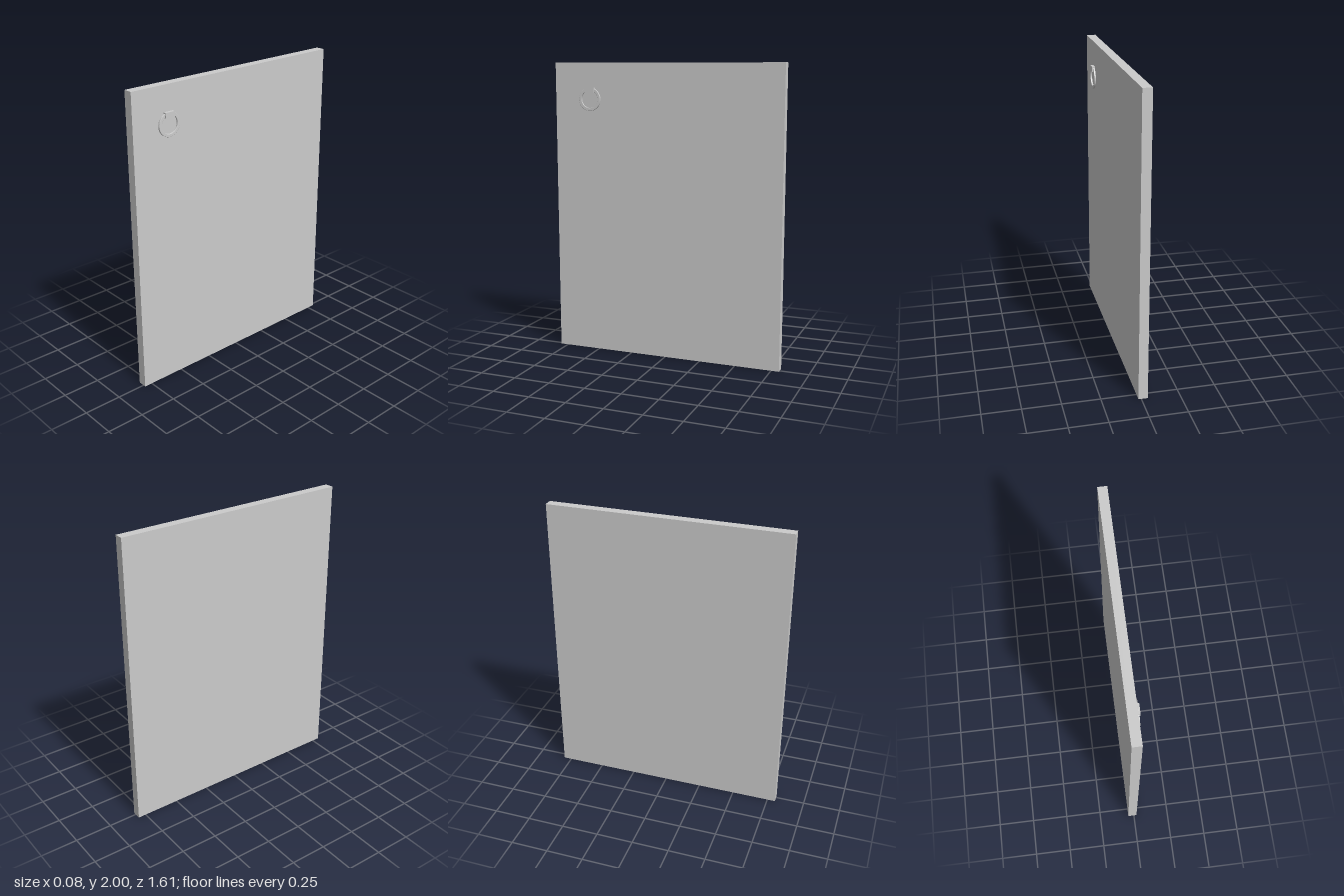
import * as THREE from 'three';

export function createModel() {
  const group = new THREE.Group();
  const material = new THREE.MeshStandardMaterial({ color: 0xcccccc });

  const add = (name, geometry, x, y, z) => {
    const mesh = new THREE.Mesh(geometry, material);
    mesh.name = name;
    mesh.position.set(x, y, z);
    group.add(mesh);
    return mesh;
  };

  // Plain door slab
  add('doorPanel', new THREE.BoxGeometry(0.061, 2, 1.608), -0.0115, 1, 0);

  // Bracket that holds the ring against the door
  add('ringBracket', new THREE.BoxGeometry(0.023, 0.034, 0.068), 0.0295, 1.817, 0.543);

  // Pull ring with slightly bevelled edges, hanging parallel to the door
  const bevel = 0.002;
  const ring = new THREE.Shape().absarc(0, 0, 0.079 - bevel, 0, Math.PI * 2);
  ring.holes.push(new THREE.Path().absarc(0, 0, 0.059 + bevel, 0, Math.PI * 2, true));
  const ringGeometry = new THREE.ExtrudeGeometry(ring, {
    depth: 0.008, curveSegments: 24,
    bevelEnabled: true, bevelSize: bevel, bevelThickness: bevel, bevelSegments: 2,
  });
  ringGeometry.translate(0, 0, -0.004).rotateY(Math.PI / 2);
  add('pullRing', ringGeometry, 0.0285, 1.756, 0.543);

  return group;
}
